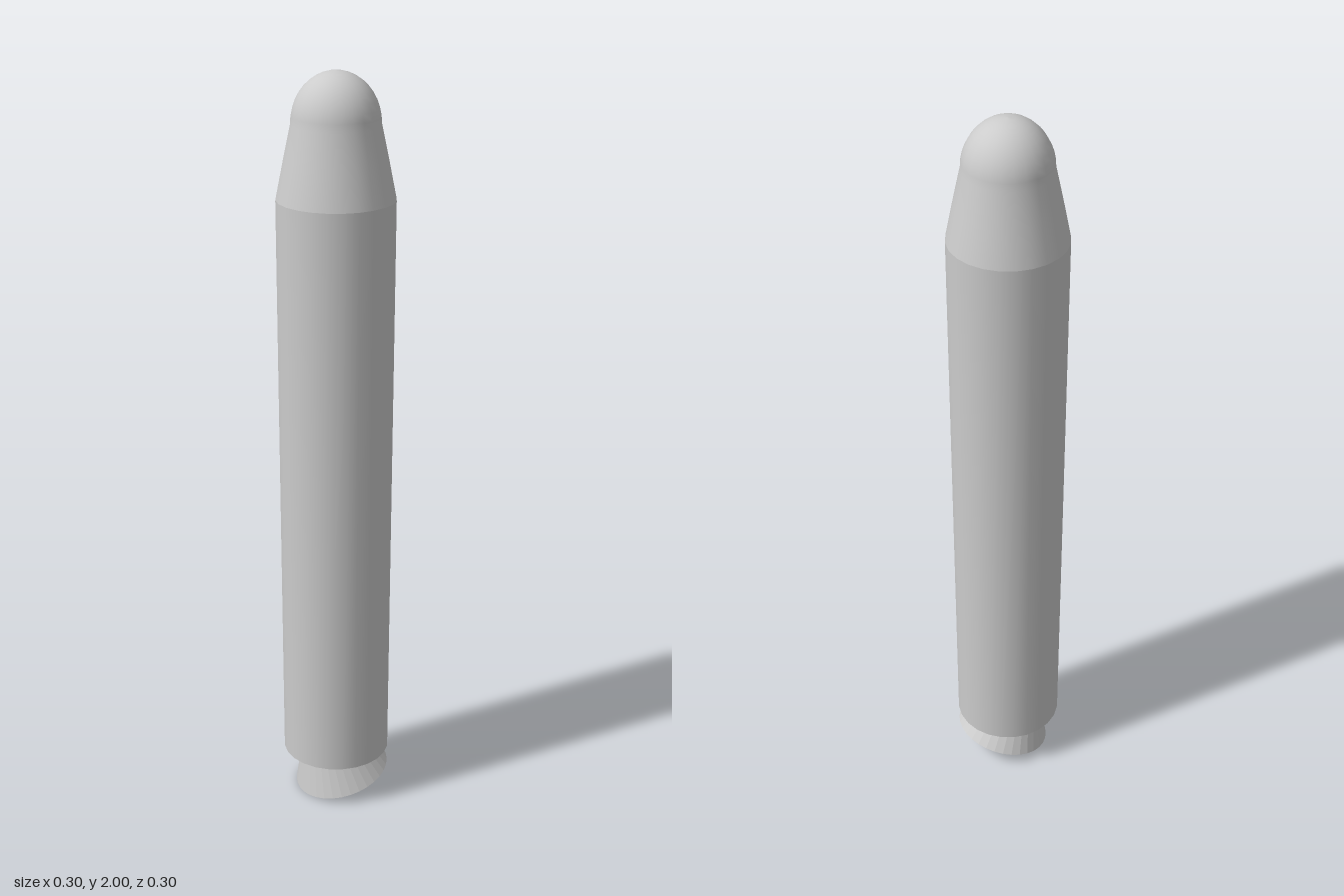
import * as THREE from 'three';

const grey = (options = {}) => new THREE.MeshStandardMaterial({ color: 0xcccccc, ...options });

export function createModel() {
  const group = new THREE.Group();
  const add = (name, geometry, material = grey()) => {
    const mesh = new THREE.Mesh(geometry, material);
    mesh.name = name;
    group.add(mesh);
    return mesh;
  };
  const sides = 24;
  const baseY = 0.125, shoulderY = 1.685;

  // Slightly tapered body, wider at the shoulder
  const body = add('body', new THREE.CylinderGeometry(0.151, 0.145, shoulderY - baseY, sides));
  body.position.y = (baseY + shoulderY) / 2;

  // Nose: a straight cone that runs into a rounded dome
  const profile = [new THREE.Vector2(0.151, shoulderY), new THREE.Vector2(0.131, 1.785)];
  const domeY = 1.87, domeR = 0.113, steps = 10;
  for (let i = 0; i <= steps; i++) {
    const a = (i / steps) * Math.PI / 2;
    profile.push(new THREE.Vector2(i === steps ? 0 : domeR * Math.cos(a), domeY + (2 - domeY) * Math.sin(a)));
  }
  add('noseCone', new THREE.LatheGeometry(profile, sides));

  // Open engine nozzle, swivelled toward +x; its top is sunk into the body
  const height = 0.13, rimRadius = 0.132;
  const nozzleGeometry = new THREE.CylinderGeometry(0.08, rimRadius, height, 32, 1, true);
  nozzleGeometry.translate(0, height / 2, 0);
  const nozzle = add('nozzle', nozzleGeometry, grey({ flatShading: true, side: THREE.DoubleSide }));
  nozzle.rotation.z = THREE.MathUtils.degToRad(15.4);
  nozzle.position.set(0.017, rimRadius * Math.sin(nozzle.rotation.z), 0);

  return group;
}
